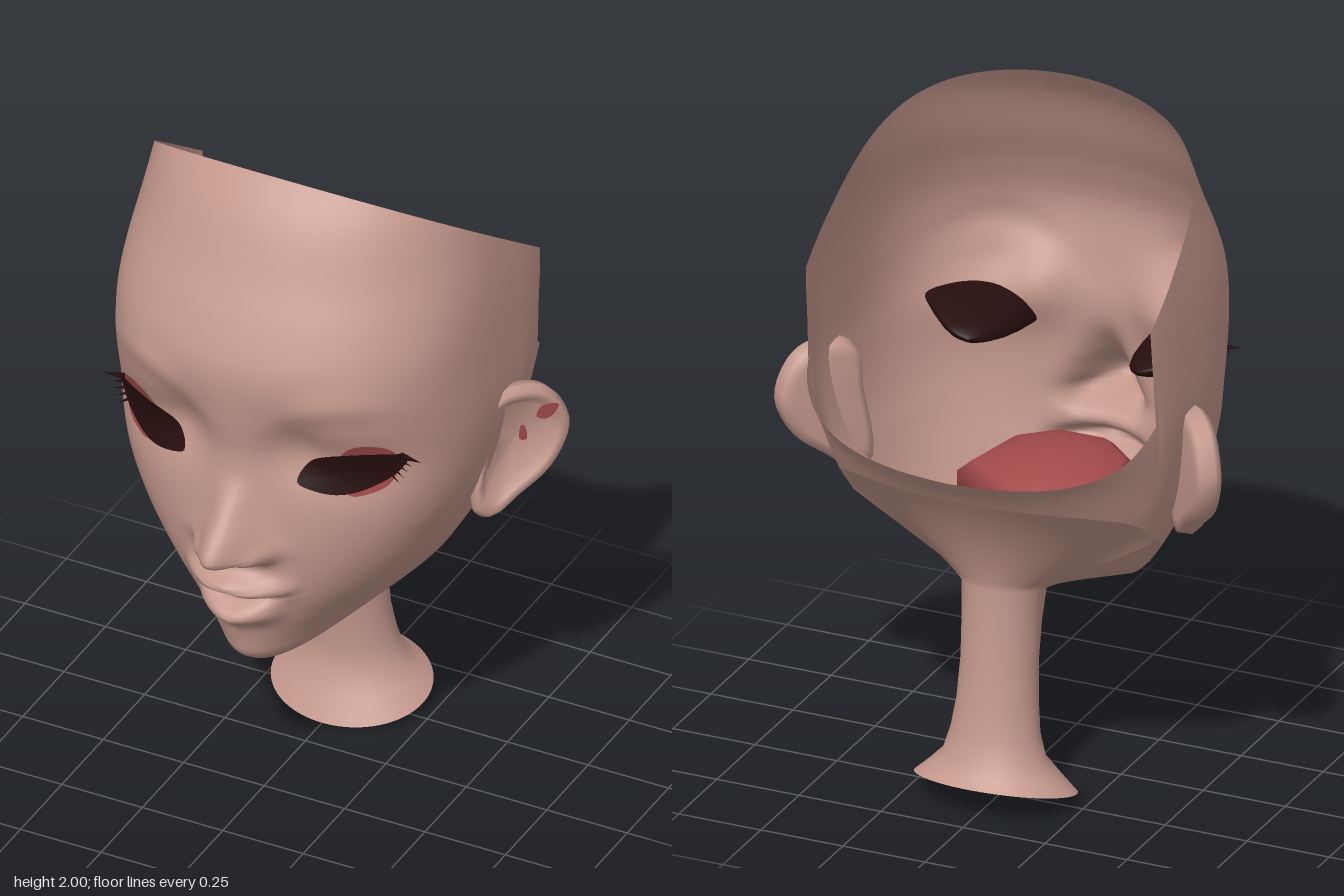
import * as THREE from 'three';

const D = Math.PI / 180;
const lerp = THREE.MathUtils.lerp;
const mat = (name, color) => new THREE.MeshStandardMaterial({ name, color, side: THREE.DoubleSide });

// Smooth function through [position, value] pairs
function curve(pts) {
  const c = new THREE.CubicInterpolant(pts.map(p => p[0]), pts.map(p => p[1]), 1, new Float32Array(1));
  return t => c.evaluate(t)[0];
}
const bump = (d, w) => Math.exp(-(d * d) / (w * w));

// Head sections by height: half width, front depth, back depth, fullness
const width = curve([[.47, .2], [.505, .235], [.59, .3], [.66, .353], [.73, .398], [.82, .44], [.9, .472], [1, .508], [1.2, .54], [1.4, .54], [1.6, .53], [1.82, .505], [2, .48]]);
const front = curve([[.47, .32], [.505, .365], [.56, .385], [.64, .405], [.75, .42], [.9, .425], [1.1, .425], [1.2, .43], [1.34, .452], [1.5, .46], [1.62, .418], [1.73, .362], [1.9, .275], [2, .2]]);
const back = curve([[.8, -.38], [.92, -.465], [1.09, -.6], [1.27, -.82], [1.565, -1.11], [2, -1.2]]);
const power = curve([[.47, 1.5], [.59, 1.3], [.66, 1.08], [.73, .86], [.85, .64], [1, .56], [1.3, .55], [1.55, .57], [1.8, .72], [2, .8]]);
const MID = -.25;

// Nose height and half width
const noseH = curve([[.84, 0], [.87, .02], [.885, .06], [.92, .162], [.945, .175], [1.04, .085], [1.13, .02], [1.2, .004], [1.3, 0]]);
const noseW = curve([[.85, .09], [.92, .088], [.97, .075], [1.05, .06], [1.2, .05]]);

// Nose, lips, eye sockets and brows as depth added to the face
function relief(x, y) {
  const a = Math.abs(x);
  let d = y > .84 && y < 1.3 ? Math.max(0, noseH(y)) * bump(a, noseW(y)) : 0;
  d += .035 * bump(a - .085, .03) * bump(y - .905, .03);
  const lip = Math.max(0, 1 - (a / .18) ** 2);
  d += lip * .075 * bump(y - .793 + a * .1, .03);
  d += Math.max(0, 1 - (a / .14) ** 2) * .062 * bump(y - .682 - a * .15, .04);
  d -= lip * .04 * bump(y - .737 - a * .17, .013);
  d -= .045 * bump(a - .17, .09) * bump(y - 1.25, .11);
  d -= .035 * bump(a - .33, .15) * bump(y - 1.2, .1);
  d += .012 * bump(a - .3, .16) * bump(y - 1.43 + 2 * (a - .32) ** 2, .05);
  return d;
}

// Point of the head at angle th (0 = front) and height y
function headPoint(th, y) {
  const c = Math.cos(th), x = width(y) * Math.sin(th);
  const z = c >= 0
    ? MID + (front(y) - MID) * Math.pow(c, power(y)) + relief(x, y)
    : MID - (back(y) - MID) * c;
  return new THREE.Vector3(x, y, z);
}
const facePoint = (x, y, off = 0) => {
  const p = headPoint(Math.asin(x / width(y)), y);
  p.z += off;
  return p;
};

// Surface through rings of points, each ring closed
function loft(rings) {
  const n = rings[0].length, pos = [], idx = [];
  rings.forEach(r => r.forEach(p => pos.push(p.x, p.y, p.z)));
  for (let r = 0; r < rings.length - 1; r++) {
    for (let i = 0; i < n; i++) {
      const a = r * n + i, b = r * n + (i + 1) % n;
      idx.push(a, a + n, b, b, a + n, b + n);
    }
  }
  const g = new THREE.BufferGeometry();
  g.setAttribute('position', new THREE.Float32BufferAttribute(pos, 3));
  g.setIndex(idx);
  g.computeVertexNormals();
  return g;
}

// Rings scaled from a flat outline, placed in space by a function
function ringed(outline, center, scales, place) {
  const pts = new THREE.CatmullRomCurve3(outline.map(p => new THREE.Vector3(p[0], p[1], 0)), true, 'centripetal').getPoints(40).slice(0, 40);
  return loft(scales.map((s, k) => pts.map(p => place(lerp(center[0], p.x, s), lerp(center[1], p.y, s), k, s))));
}

// Rim and jaw heights by angle in degrees
const backRim = curve([[102.5, 1.27], [118, 1.18], [135, 1.13], [150, 1.105], [180, 1.09]]);
const jaw = curve([[0, .47], [15, .478], [30, .505], [56, .59], [69, .66], [78, .73], [86, .81], [94, .86], [110, .93], [135, .98], [180, 1]]);
function rim(deg) {
  if (deg > 101) return backRim(deg);
  let y = 1.8;
  for (let i = 0; i < 25; i++) y = lerp(y, Math.min(2, 1.855 + .725 * headPoint(deg * D, y).z), .6);
  return y;
}

// Open head shell running down through the jaw into the neck
function headGeometry() {
  const half = [];
  for (let d = 0; d < 84; d += 1.5) half.push(d);
  half.push(84, 85.5, 86.5, 87.5, 88.5, 89.2, 89.7, 90, 92, 94, 97, 100, 102.5);
  for (let d = 106; d < 180; d += 4) half.push(d);
  const angles = [...half, 180, ...half.slice(1).reverse().map(d => -d)];
  const tops = angles.map(d => rim(Math.abs(d)));
  const jaws = angles.map(d => jaw(Math.abs(d)));
  const rings = [];
  for (let r = 0; r <= 120; r++) {
    rings.push(angles.map((d, i) => headPoint(d * D, lerp(tops[i], jaws[i], r / 120))));
  }
  const neckLoop = (yF, yB, c, rx, rz) => angles.map(d => {
    const f = Math.cos(d * D);
    return new THREE.Vector3(rx * Math.sin(d * D), lerp(yB, yF, (1 + f) / 2), c + rz * f);
  });
  // Underside of the jaw and nape
  const jawLoop = rings[rings.length - 1], neckTop = neckLoop(.61, .66, -.228, .118, .118);
  for (let r = 1; r <= 14; r++) {
    const t = r / 14;
    rings.push(angles.map((d, i) => {
      const a = jawLoop[i], b = neckTop[i], k = .5 + .28 * Math.max(0, -Math.cos(d * D));
      const c = new THREE.Vector3(lerp(a.x, b.x, k), lerp(a.y, b.y, .5), lerp(a.z, b.z, k));
      return new THREE.QuadraticBezierCurve3(a, c, b).getPoint(t);
    }));
  }
  // Neck and its flared foot
  [[.52, .54, -.245, .112, .108], [.42, .42, -.258, .11, .103], [.3, .3, -.272, .116, .104],
   [.2, .22, -.286, .128, .106], [.13, .15, -.293, .148, .12], [.07, .12, -.29, .19, .15],
   [.0, .1, -.283, .235, .183]].forEach(v => rings.push(neckLoop(...v)));
  return loft(rings);
}

export function createModel() {
  const root = new THREE.Group();
  root.name = 'head';
  const skin = mat('skin', 0xc4988c), dark = mat('dark eye', 0x260d0d), red = mat('inner red', 0xa34a4a);
  const add = (name, geo, m) => {
    const mesh = new THREE.Mesh(geo, m);
    mesh.name = name;
    root.add(mesh);
    return mesh;
  };

  add('headShell', headGeometry(), skin);

  // Mouth cavity, a five-sided domed bag behind the lips
  const bag = [[-.05, -.15], [-.24, -.02], [-.19, .22], [-.08, .32], [.08, .32], [.19, .22], [.24, -.02], [.05, -.15]];
  const bagRings = [[0, .91], [.5, .9], [.85, .87], [1, .84], [1, .75], [0, .73]];
  add('mouthCavity', loft(bagRings.map(([s, y]) => bag.map(p => new THREE.Vector3(p[0] * s, y, lerp(.08, p[1], s))))), red);

  const eye = [[.175, 1.15], [.2, 1.21], [.26, 1.243], [.33, 1.258], [.4, 1.255], [.448, 1.238], [.425, 1.185], [.37, 1.145], [.3, 1.122], [.22, 1.13]];
  const lid = [[.27, 1.2], [.3, 1.262], [.335, 1.288], [.38, 1.286], [.415, 1.262], [.425, 1.2], [.4, 1.14], [.36, 1.12], [.315, 1.115], [.285, 1.16]];
  const ear = [[0, 1.1], [.01, 1.2], [.06, 1.245], [.17, 1.24], [.225, 1.19], [.255, 1.09], [.2, .97], [.1, .89], [.02, .835], [-.03, .87]];
  const spots = [[[.15, 1.155], [.165, 1.185], [.215, 1.18], [.2, 1.15], [.175, 1.14]],
                 [[.11, 1.07], [.115, 1.115], [.125, 1.11], [.13, 1.065]]];
  const plate = [1, .8, .6, .4, .2, 0];

  for (const side of [1, -1]) {
    const tag = side > 0 ? 'left' : 'right';
    const flip = p => { p.x *= side; return p; };

    // Eye: front plate, red lid edge and the bowl inside the head
    const c = [.315, 1.19];
    add(tag + 'Eye', ringed(eye, c, plate, (x, y) => flip(facePoint(x, y, .014))), dark);
    add(tag + 'LidEdge', ringed(lid, c, plate, (x, y) => flip(facePoint(x, y, .008))), red);
    add(tag + 'EyeBowl', ringed(eye, c, plate, (x, y, k, q) => {
      const p = facePoint(x, y, -.014 - .22 * (1 - q * q));
      p.x -= .06 * (1 - q * q);
      return flip(p);
    }), dark);

    // Lash wing and short lashes at the outer corner
    for (let i = 0; i < 5; i++) {
      const wing = i === 0;
      const g = new THREE.ConeGeometry(wing ? .016 : .006, wing ? .085 : .045, 4).translate(0, .012, 0);
      g.rotateZ((-88 - i * 9) * D).rotateY(-.15);
      const p = facePoint(.442 - i * .008, 1.234 - i * .014, .016);
      g.translate(p.x, p.y, p.z);
      add(tag + 'Lash', g, dark).scale.x = side;
    }

    // Ear: swept outwards and back, hollow at the front
    const offs = [-.05, -.05, -.042, 0, .02, .014, -.014, -.02];
    const onEar = (u, y, off) => flip(new THREE.Vector3(.5 + .68 * u + .72 * off, y, -.1 - .74 * u + .69 * off));
    add(tag + 'Ear', ringed(ear, [.1, 1.07], [0, .75, .94, 1, .92, .78, .62, 0], (u, y, k) => onEar(u, y, offs[k])), skin);
    spots.forEach(o => add(tag + 'EarSpot', ringed(o, o[0], [1, 0], (u, y) => onEar(u, y, u > .14 ? .022 : -.006)), red));
  }
  return root;
}
